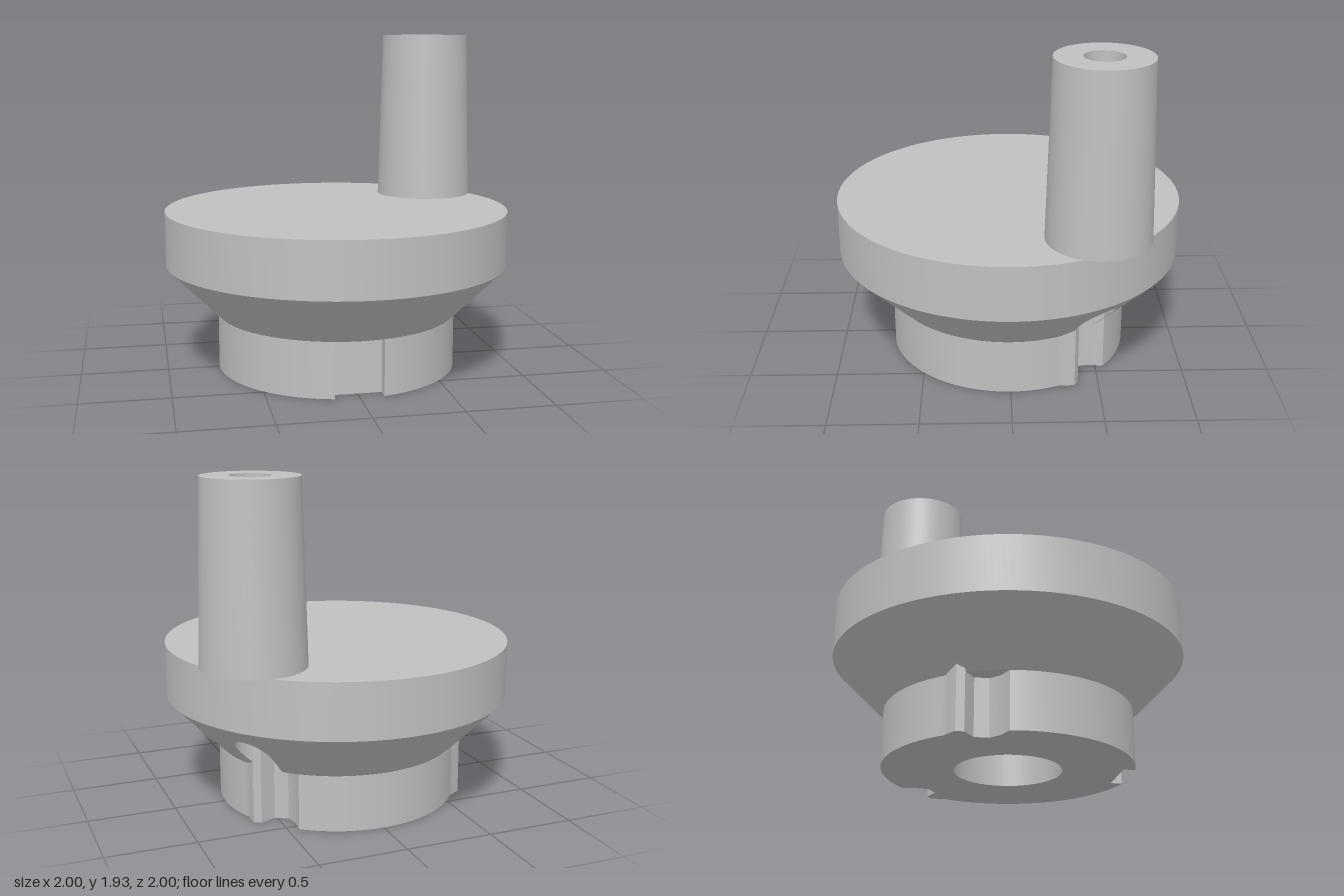
import * as THREE from 'three';
import { toCreasedNormals } from 'three/addons/utils/BufferGeometryUtils.js';

const HOLE = { x: 0.66, z: -0.47, r: 0.108 };
const HOLE_DIST = Math.hypot(HOLE.x, HOLE.z);
const HOLE_ANGLE = Math.atan2(HOLE.x, HOLE.z); // measured from +z towards +x
const HOLE_HALF = Math.asin(HOLE.r / HOLE_DIST);
const rad = THREE.MathUtils.degToRad;
const coneY = (r) => THREE.MathUtils.clamp(r - 0.38, 0.32, 0.62);
const POCKET_TOP = 0.45;

// Plan point (x, -z) for a radius and an angle in degrees
const plan = (r, deg) => new THREE.Vector2(r * Math.sin(rad(deg)), -r * Math.cos(rad(deg)));

// Ruled surface between two rows of points
function ruled(a, b) {
  const pos = [];
  for (let i = 0; i < a.length - 1; i++) {
    for (const p of [a[i], b[i], b[i + 1], a[i], b[i + 1], a[i + 1]]) pos.push(...p);
  }
  const g = new THREE.BufferGeometry();
  g.setAttribute('position', new THREE.Float32BufferAttribute(pos, 3));
  g.computeVertexNormals();
  return toCreasedNormals(g, rad(30));
}

// Vertical extrusion of a plan shape
function upright(shape, y0, y1) {
  const g = new THREE.ExtrudeGeometry(shape, { depth: y1 - y0, bevelEnabled: false, curveSegments: 96 });
  g.rotateX(-Math.PI / 2).translate(0, y0, 0);
  return toCreasedNormals(g, rad(25));
}

export function createModel() {
  const group = new THREE.Group();
  const metal = new THREE.MeshStandardMaterial({ color: 0xc0c0c0, side: THREE.DoubleSide });
  metal.name = 'plain grey';
  const add = (name, geometry) => {
    const m = new THREE.Mesh(geometry, metal);
    m.name = name;
    group.add(m);
    return m;
  };
  const circle = (x, y, r) => new THREE.Path().absarc(x, y, r, 0, Math.PI * 2, true);

  // Wide disc, drilled under the handle
  const disc = new THREE.Shape().absarc(0, 0, 1, 0, Math.PI * 2, false);
  disc.holes.push(circle(HOLE.x, -HOLE.z, HOLE.r));
  add('disc', upright(disc, 0.62, 0.935));

  // Conical underside, opened where the drilled hole breaks through
  const onCone = (r, a) => [r * Math.sin(a), coneY(r), r * Math.cos(a)];
  const coneStrip = (name, from, to, n, rIn, rOut) => {
    const inner = [], outer = [];
    for (let i = 0; i <= n; i++) {
      const a = from + (to - from) * i / n;
      inner.push(onCone(rIn(a), a));
      outer.push(onCone(rOut(a), a));
    }
    add(name, ruled(inner, outer));
  };
  const holeEdge = (side) => (a) => {
    const d = a - HOLE_ANGLE;
    const h = Math.sqrt(Math.max(0, HOLE.r ** 2 - (HOLE_DIST * Math.sin(d)) ** 2));
    return HOLE_DIST * Math.cos(d) + side * h;
  };
  const a0 = HOLE_ANGLE - HOLE_HALF, a1 = HOLE_ANGLE + HOLE_HALF;
  coneStrip('cone', a1, a0 + Math.PI * 2, 160, () => 0.7, () => 1);
  coneStrip('coneOutsideHole', a0, a1, 32, holeEdge(1), () => 1);
  coneStrip('coneBesideHole', a0, rad(120.5), 6, () => 0.7, holeEdge(-1));

  // Wall of the drilled hole, from the cone up through the handle
  const low = [], high = [];
  for (let i = 0; i <= 64; i++) {
    const t = i / 64 * Math.PI * 2;
    const x = HOLE.x + HOLE.r * Math.sin(t), z = HOLE.z + HOLE.r * Math.cos(t);
    const r = Math.hypot(x, z);
    const inPocket = r < HOLE_DIST && Math.atan2(x, z) > rad(120.5);
    low.push([x, inPocket ? Math.max(POCKET_TOP, coneY(r)) : coneY(r), z]);
    high.push([x, 1.935, z]);
  }
  add('holeWall', ruled(low, high));

  // Hub with a square notch in front and two lipped notches
  const outline = [];
  const arc = (from, to) => {
    for (let i = 0; i <= 48; i++) outline.push(plan(0.7, from + (to - from) * i / 48));
  };
  const lippedNotch = (turn) => {
    for (const [r, a] of [[0.718, 116], [0.738, 119.5], [0.715, 122.6], [0.62, 124], [0.59, 131], [0.63, 137]]) {
      outline.push(plan(r, a + turn));
    }
  };
  arc(11.3, 113);
  lippedNotch(0);
  arc(141, 233);
  lippedNotch(120);
  arc(261, 348.7);
  outline.push(new THREE.Vector2(-0.137, -0.62), new THREE.Vector2(0.137, -0.62));
  const hub = new THREE.Shape(outline);
  hub.holes.push(circle(0, 0, 0.3));
  add('hub', upright(hub, 0, POCKET_TOP));

  // Ceilings closing the notches, the one below the hole set higher
  const ceiling = (name, from, to, y, n) => {
    const inner = [], outer = [];
    for (let i = 0; i <= n; i++) {
      const a = from + (to - from) * i / n;
      inner.push([0.5 * Math.sin(a), y, 0.5 * Math.cos(a)]);
      outer.push([0.702 * Math.sin(a), y, 0.702 * Math.cos(a)]);
    }
    add(name, ruled(inner, outer));
  };
  ceiling('notchCeiling', rad(141), rad(141 + 338), 0.32, 120);
  ceiling('pocketCeiling', rad(119), rad(141), POCKET_TOP, 12);

  // Blind bore in the hub
  add('hubBore', new THREE.CylinderGeometry(0.3, 0.3, 0.17, 64, 1, true)).position.y = 0.535;

  // Tapered handle
  const profile = [[HOLE.r, 0.935], [0.29, 0.935], [0.262, 1.935], [HOLE.r, 1.935]];
  const handle = new THREE.LatheGeometry(profile.map(([r, y]) => new THREE.Vector2(r, y)), 72);
  add('handle', toCreasedNormals(handle, rad(30))).position.set(HOLE.x, 0, HOLE.z);

  return group;
}
